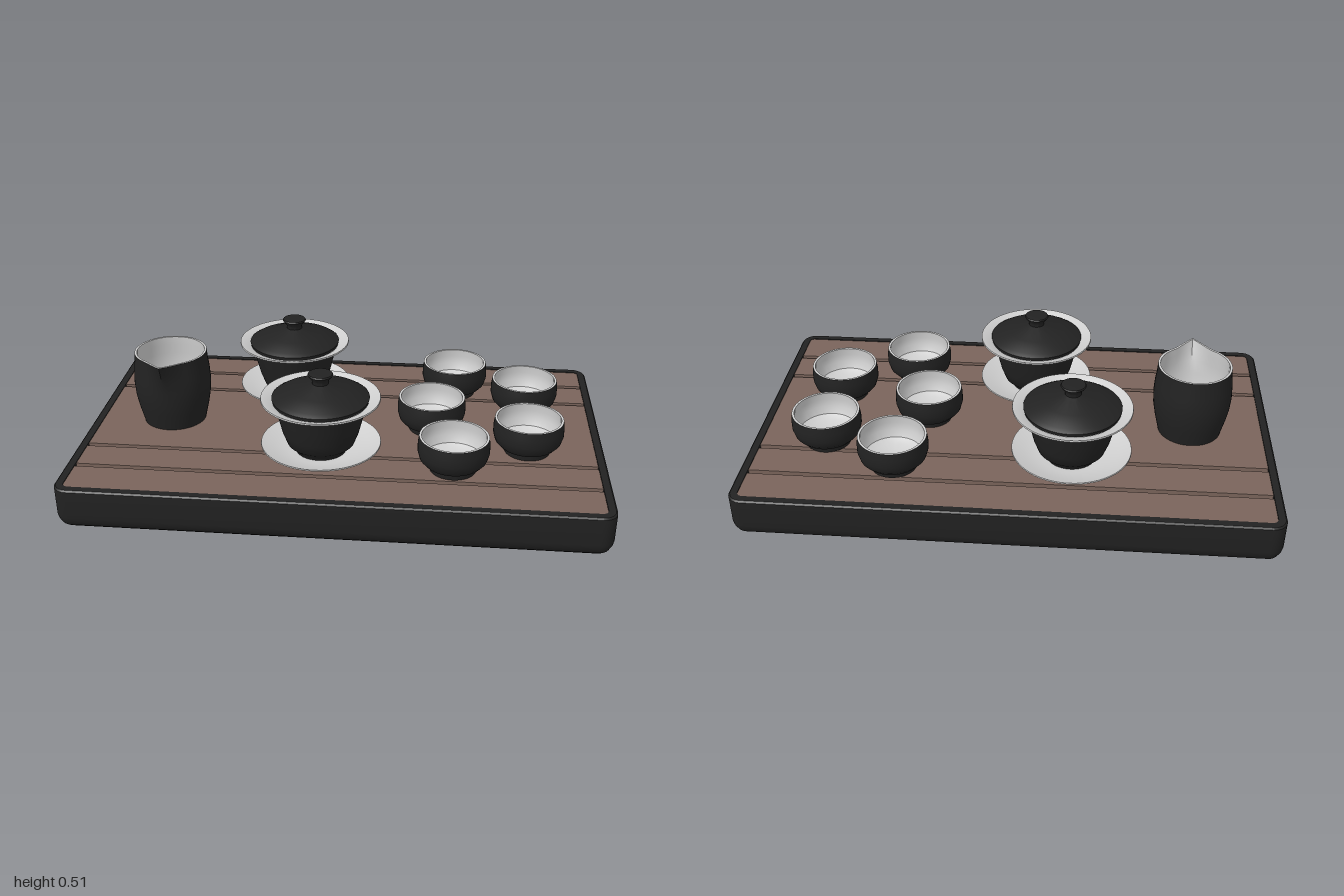
import * as THREE from 'three';
import { toCreasedNormals } from 'three/addons/utils/BufferGeometryUtils.js';

const mat = (name, color) => {
  const m = new THREE.MeshStandardMaterial({ color });
  m.name = name;
  return m;
};

// Surface of revolution; profile runs upward for outsides, downward for insides
function lathe(name, profile, material, reshape) {
  const geo = new THREE.LatheGeometry(profile.map(([r, y]) => new THREE.Vector2(r, y)), 64);
  if (reshape) reshape(geo.attributes.position);
  const mesh = new THREE.Mesh(toCreasedNormals(geo, 0.6), material);
  mesh.name = name;
  return mesh;
}

// Rounded rectangles stacked as [inset, y] rings and joined
function roundedLoft(hx, hz, radius, rings) {
  const steps = 6, pos = [], index = [];
  for (const [inset, y] of rings) {
    const d = Math.max(inset, radius), r = Math.max(radius - inset, 0);
    for (let c = 0; c < 4; c++) {
      const sx = c === 0 || c === 3 ? 1 : -1, sz = c < 2 ? 1 : -1;
      for (let i = 0; i <= steps; i++) {
        const a = (c + i / steps) * Math.PI / 2;
        pos.push(sx * (hx - d) + r * Math.cos(a), y, sz * (hz - d) + r * Math.sin(a));
      }
    }
  }
  const n = 4 * (steps + 1);
  for (let k = 0; k < rings.length - 1; k++) {
    for (let i = 0; i < n; i++) {
      const a = k * n + i, b = k * n + (i + 1) % n;
      index.push(a, a + n, b, b, a + n, b + n);
    }
  }
  const geo = new THREE.BufferGeometry();
  geo.setAttribute('position', new THREE.Float32BufferAttribute(pos, 3));
  geo.setIndex(index);
  return toCreasedNormals(geo, 0.6);
}

// Pulls the rim near +z out into a pointed lip
function pullSpout(p) {
  for (let i = 0; i < p.count; i++) {
    const x = p.getX(i), y = p.getY(i), z = p.getZ(i);
    if (y < 0.37) continue;
    const side = Math.max(0, 1 - Math.abs(Math.atan2(x, z)) / 0.55);
    const w = Math.pow(side, 1.3) * Math.min(1, (y - 0.37) / 0.09);
    p.setZ(i, z + 0.05 * w);
    p.setY(i, y + 0.008 * w);
  }
}

export function createModel() {
  const dark = mat('black glaze', 0x222222);
  const light = mat('pale glaze', 0xcfcfcf);
  const wood = mat('brown wood', 0x7a645b);
  const model = new THREE.Group();
  model.name = 'teaSet';

  const addGroup = (name, x, z, parts) => {
    const g = new THREE.Group();
    g.name = name;
    g.position.set(x, 0, z);
    g.add(...parts);
    model.add(g);
  };

  // Tray with rounded lower edge and a recessed top
  const tray = new THREE.Mesh(roundedLoft(1, 0.6, 0.055, [
    [0.6, 0], [0.055, 0], [0.032, 0.008], [0.015, 0.022], [0.004, 0.042], [0, 0.06],
    [0, 0.167], [0.006, 0.173], [0.032, 0.173], [0.032, 0.155], [0.6, 0.155],
  ]), dark);
  tray.name = 'tray';
  model.add(tray);

  // Planks separated by dark grooves
  const planks = [[-0.566, -0.43], [-0.41, -0.27], [-0.25, 0.245], [0.265, 0.4], [0.42, 0.566]];
  for (const [z0, z1] of planks) {
    const plank = new THREE.Mesh(new THREE.BoxGeometry(1.934, 0.02, z1 - z0), wood);
    plank.name = 'plank';
    plank.position.set(0, 0.161, (z0 + z1) / 2);
    model.add(plank);
  }

  // Lidded bowls on saucers
  for (const [x, z] of [[-0.23, -0.255], [-0.065, 0.25]]) {
    addGroup('liddedBowl', x, z, [
      lathe('saucerUnderside', [[0, 0.173], [0.125, 0.173], [0.13, 0.19], [0.18, 0.21], [0.225, 0.23]], dark),
      lathe('saucerTop', [[0.225, 0.23], [0.224, 0.235], [0.18, 0.217], [0.12, 0.2], [0, 0.2]], light),
      lathe('bowlOutside', [[0, 0.2], [0.095, 0.2], [0.1, 0.212], [0.126, 0.235], [0.143, 0.28],
        [0.158, 0.34], [0.17, 0.39], [0.185, 0.402], [0.222, 0.413]], dark),
      lathe('bowlInside', [[0.222, 0.413], [0.221, 0.419], [0.18, 0.405], [0.163, 0.39],
        [0.145, 0.31], [0.11, 0.25], [0, 0.235]], light),
      lathe('lid', [[0, 0.404], [0.178, 0.404], [0.181, 0.417], [0.165, 0.427], [0.11, 0.448],
        [0.05, 0.465], [0.03, 0.472], [0.031, 0.485], [0.047, 0.506], [0.044, 0.511], [0, 0.513]], dark),
    ]);
  }

  // Pouring jug with lip
  addGroup('jug', -0.685, -0.005, [
    lathe('jugOutside', [[0, 0.173], [0.122, 0.173], [0.126, 0.19], [0.138, 0.24], [0.147, 0.29],
      [0.15, 0.34], [0.147, 0.39], [0.142, 0.43], [0.14, 0.463]], dark, pullSpout),
    lathe('jugInside', [[0.14, 0.463], [0.131, 0.463], [0.133, 0.43], [0.138, 0.39], [0.14, 0.34],
      [0.13, 0.24], [0.115, 0.2], [0, 0.195]], light, pullSpout),
  ]);

  // Small cups
  const cups = [[0.43, -0.335], [0.71, -0.197], [0.342, -0.003], [0.71, 0.145], [0.43, 0.31]];
  for (const [x, z] of cups) {
    addGroup('cup', x, z, [
      lathe('cupOutside', [[0, 0.174], [0.086, 0.174], [0.09, 0.195], [0.108, 0.204], [0.124, 0.222],
        [0.132, 0.25], [0.132, 0.28], [0.128, 0.31]], dark),
      lathe('cupInside', [[0.128, 0.31], [0.119, 0.31], [0.122, 0.28], [0.12, 0.25], [0.108, 0.222],
        [0.083, 0.208], [0, 0.205]], light),
    ]);
  }
  return model;
}
